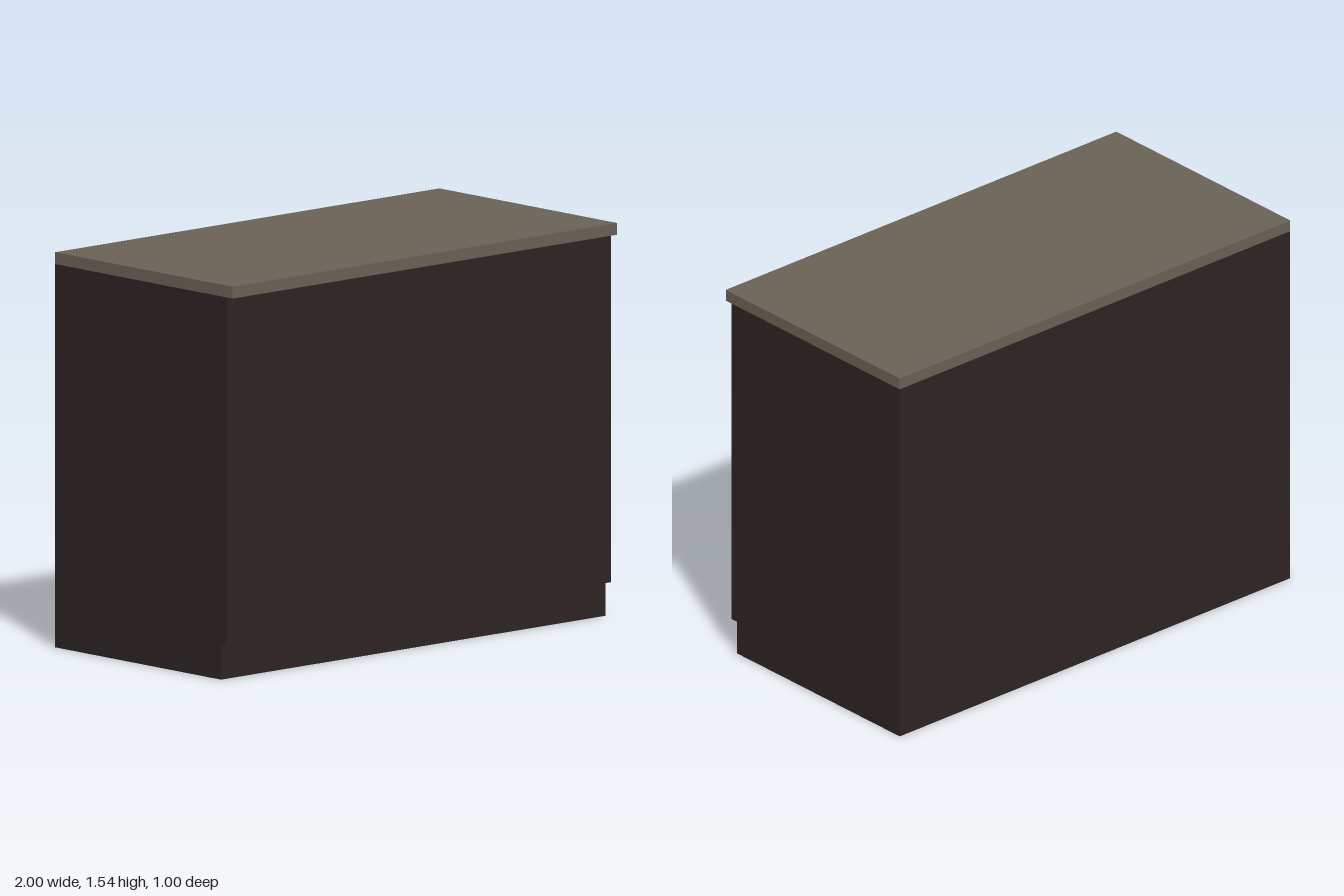
import * as THREE from 'three';

const WIDTH = 2;
const BACK = -0.5;

export function createModel() {
  const group = new THREE.Group();
  group.name = 'baseCabinet';

  const darkWood = new THREE.MeshStandardMaterial({ color: 0x2e2423 });
  darkWood.name = 'darkWood';
  const stone = new THREE.MeshStandardMaterial({ color: 0x6a6257 });
  stone.name = 'stone';

  // Cabinet body: side profile with a recessed toe kick, drawn as (-z, y)
  const profile = new THREE.Shape([
    [-0.435, 0], [0.5, 0], [0.5, 1.49], [-0.467, 1.49], [-0.467, 0.135], [-0.435, 0.135],
  ].map(([x, y]) => new THREE.Vector2(x, y)));
  const bodyGeometry = new THREE.ExtrudeGeometry(profile, { depth: WIDTH, bevelEnabled: false });
  bodyGeometry.translate(0, 0, -WIDTH / 2);
  bodyGeometry.rotateY(Math.PI / 2); // profile x becomes -z, extrusion runs along x
  const body = new THREE.Mesh(bodyGeometry, darkWood);
  body.name = 'cabinetBody';
  group.add(body);

  // Worktop slab: flush at the back and sides, overhanging the front
  const top = new THREE.Mesh(new THREE.BoxGeometry(WIDTH, 0.046, -2 * BACK), stone);
  top.position.y = 1.49 + 0.023;
  top.name = 'worktop';
  group.add(top);

  return group;
}
